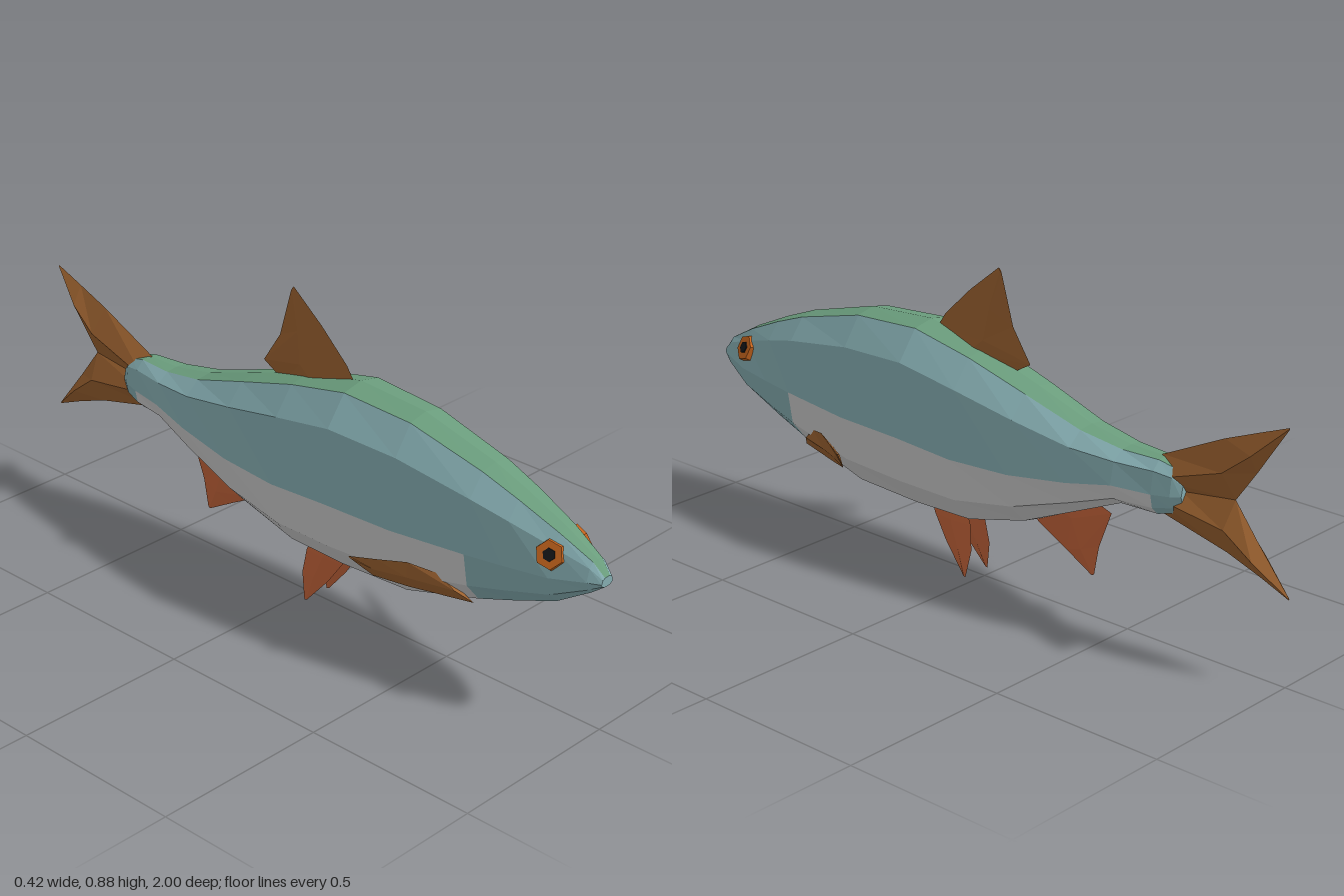
import * as THREE from 'three';

const mat = (color) => new THREE.MeshStandardMaterial({ color, flatShading: true });
const MAT = {
  green: mat(0x6a9c7c), teal: mat(0x86aeb2), belly: mat(0xcccccc),
  fin: mat(0x9c6230), redFin: mat(0xc4643a), iris: mat(0xc8661e), pupil: mat(0x15171a),
};

// Skin a series of equal-length rings; pick(i, j) chooses which panels to keep.
function loft(rings, pick = () => true, caps = false) {
  const pos = [];
  const tri = (...pts) => pts.forEach((p) => pos.push(p.x, p.y, p.z));
  const n = rings[0].length;
  for (let i = 0; i < rings.length - 1; i++) {
    for (let j = 0; j < n; j++) {
      if (!pick(i, j)) continue;
      const k = (j + 1) % n, a = rings[i], b = rings[i + 1];
      tri(a[j], a[k], b[k]);
      tri(a[j], b[k], b[j]);
    }
  }
  if (caps) {
    const first = rings[0], last = rings[rings.length - 1];
    for (let j = 1; j < n - 1; j++) {
      tri(first[0], first[j + 1], first[j]);
      tri(last[0], last[j], last[j + 1]);
    }
  }
  const g = new THREE.BufferGeometry();
  g.setAttribute('position', new THREE.Float32BufferAttribute(pos, 3));
  g.computeVertexNormals();
  return g;
}

function add(parent, name, geometry, material) {
  const m = new THREE.Mesh(geometry, material);
  m.name = name;
  parent.add(m);
  return m;
}

// Fin with a diamond section: stations of [leading point, trailing point, half thickness].
function finGeometry(stations) {
  const st = stations.map(([a, b, t]) => [new THREE.Vector3(...a), new THREE.Vector3(...b), t]);
  const mid = ([a, b]) => a.clone().add(b).multiplyScalar(0.5);
  const span = mid(st[st.length - 1]).sub(mid(st[0]));
  const normal = st[0][1].clone().sub(st[0][0]).cross(span).normalize();
  const rings = st.map((s) => [
    s[0], mid(s).addScaledVector(normal, s[2]), s[1], mid(s).addScaledVector(normal, -s[2]),
  ]);
  return loft(rings, undefined, true);
}

// Upright fin given as [z, y] points, optionally splayed outwards in x.
const upright = (stations, x = () => 0) =>
  finGeometry(stations.map(([a, b, t]) => [[x(a[1]), a[1], a[0]], [x(b[1]), b[1], b[0]], t]));

// Body sections: z, top, bottom, half width, upper-side narrowing
const SECTIONS = [
  [0.997, 0.432, 0.405, 0.022, 0.8],
  [0.965, 0.468, 0.38, 0.04, 0.75],
  [0.87, 0.52, 0.32, 0.07, 0.75],
  [0.75, 0.573, 0.276, 0.095, 0.82],
  [0.64, 0.615, 0.238, 0.112, 0.85],
  [0.41, 0.676, 0.172, 0.132, 0.85],
  [0.19, 0.69, 0.166, 0.147, 0.85],
  [0, 0.65, 0.17, 0.14, 0.85],
  [-0.19, 0.592, 0.22, 0.125, 0.85],
  [-0.37, 0.533, 0.3, 0.103, 0.85],
  [-0.5, 0.51, 0.357, 0.082, 0.85],
  [-0.61, 0.508, 0.355, 0.058, 0.85],
  [-0.66, 0.495, 0.37, 0.045, 0.85],
  [-0.685, 0.465, 0.395, 0.03, 0.8],
];

function bodyRing([z, top, bottom, w, upper]) {
  const half = [[0, 1], [0.44, 0.975], [upper, 0.82], [1, 0.43], [0.86, 0.18], [0.44, 0.03], [0, 0]];
  const mirrored = half.slice(1, -1).reverse().map(([x, y]) => [-x, y]);
  return [...half, ...mirrored].map(([x, y]) => new THREE.Vector3(x * w, bottom + y * (top - bottom), z));
}

export function createModel() {
  const model = new THREE.Group();
  model.name = 'fish';

  // Body, split into back, flanks (with head and tail root) and belly
  const rings = SECTIONS.map(bodyRing);
  const region = (i, j) => {
    if (j === 0 || j === 11) return 'back';
    const low = j >= 3 && j <= 8;
    return low && i >= 4 && i < 11 ? 'belly' : 'flank';
  };
  const body = new THREE.Group();
  body.name = 'body';
  model.add(body);
  add(body, 'back', loft(rings, (i, j) => region(i, j) === 'back'), MAT.green);
  add(body, 'flanks', loft(rings, (i, j) => region(i, j) === 'flank', true), MAT.teal);
  add(body, 'belly', loft(rings, (i, j) => region(i, j) === 'belly'), MAT.belly);

  // Dorsal fin
  add(model, 'dorsalFin', upright([
    [[0.17, 0.67], [-0.09, 0.6], 0.02],
    [[0.14, 0.715], [-0.16, 0.64], 0.019],
    [[0.05, 0.8], [-0.1, 0.73], 0.012],
    [[-0.05, 0.88], [-0.06, 0.865], 0.002],
  ]), MAT.fin);

  // Forked tail
  add(model, 'upperTailLobe', upright([
    [[-0.6, 0.51], [-0.6, 0.4], 0.036],
    [[-0.79, 0.6], [-0.83, 0.45], 0.036],
    [[-0.89, 0.64], [-0.89, 0.535], 0.03],
    [[-0.98, 0.675], [-0.978, 0.668], 0.002],
  ]), MAT.fin);
  add(model, 'lowerTailLobe', upright([
    [[-0.6, 0.355], [-0.6, 0.46], 0.036],
    [[-0.81, 0.305], [-0.83, 0.45], 0.036],
    [[-0.91, 0.27], [-0.9, 0.36], 0.03],
    [[-1, 0.234], [-0.998, 0.241], 0.002],
  ]), MAT.fin);

  // Anal fin
  add(model, 'analFin', upright([
    [[-0.17, 0.24], [-0.38, 0.325], 0.012],
    [[-0.19, 0.215], [-0.44, 0.305], 0.012],
    [[-0.29, 0.162], [-0.4, 0.2], 0.009],
    [[-0.375, 0.115], [-0.385, 0.118], 0.002],
  ]), MAT.redFin);

  for (const [side, s] of [['left', 1], ['right', -1]]) {
    // Pelvic fin
    add(model, side + 'PelvicFin', upright([
      [[0.17, 0.185], [0.04, 0.185], 0.008],
      [[0.155, 0.15], [0.025, 0.15], 0.009],
      [[0.11, 0.085], [0.015, 0.08], 0.007],
      [[0.04, 0.005], [0.03, 0], 0.002],
    ], (y) => s * (0.044 - y * 0.1)), MAT.redFin);

    // Pectoral fin
    add(model, side + 'PectoralFin', finGeometry([
      [[s * 0.055, 0.235, 0.63], [s * 0.105, 0.31, 0.55], 0.012],
      [[s * 0.11, 0.238, 0.46], [s * 0.14, 0.328, 0.48], 0.014],
      [[s * 0.155, 0.257, 0.38], [s * 0.178, 0.325, 0.41], 0.01],
      [[s * 0.208, 0.316, 0.35], [s * 0.21, 0.322, 0.345], 0.002],
    ]), MAT.fin);

    // Eye: hexagonal iris and pupil facing out, up and forward
    const eye = new THREE.Group();
    eye.name = side + 'Eye';
    eye.position.set(s * 0.055, 0.464, 0.865);
    eye.quaternion.setFromUnitVectors(
      new THREE.Vector3(0, 1, 0), new THREE.Vector3(s, 0.4, 0.3).normalize());
    model.add(eye);
    add(eye, side + 'Iris', new THREE.CylinderGeometry(0.037, 0.042, 0.024, 6), MAT.iris);
    add(eye, side + 'Pupil', new THREE.CylinderGeometry(0.017, 0.02, 0.03, 6), MAT.pupil);
  }
  return model;
}
